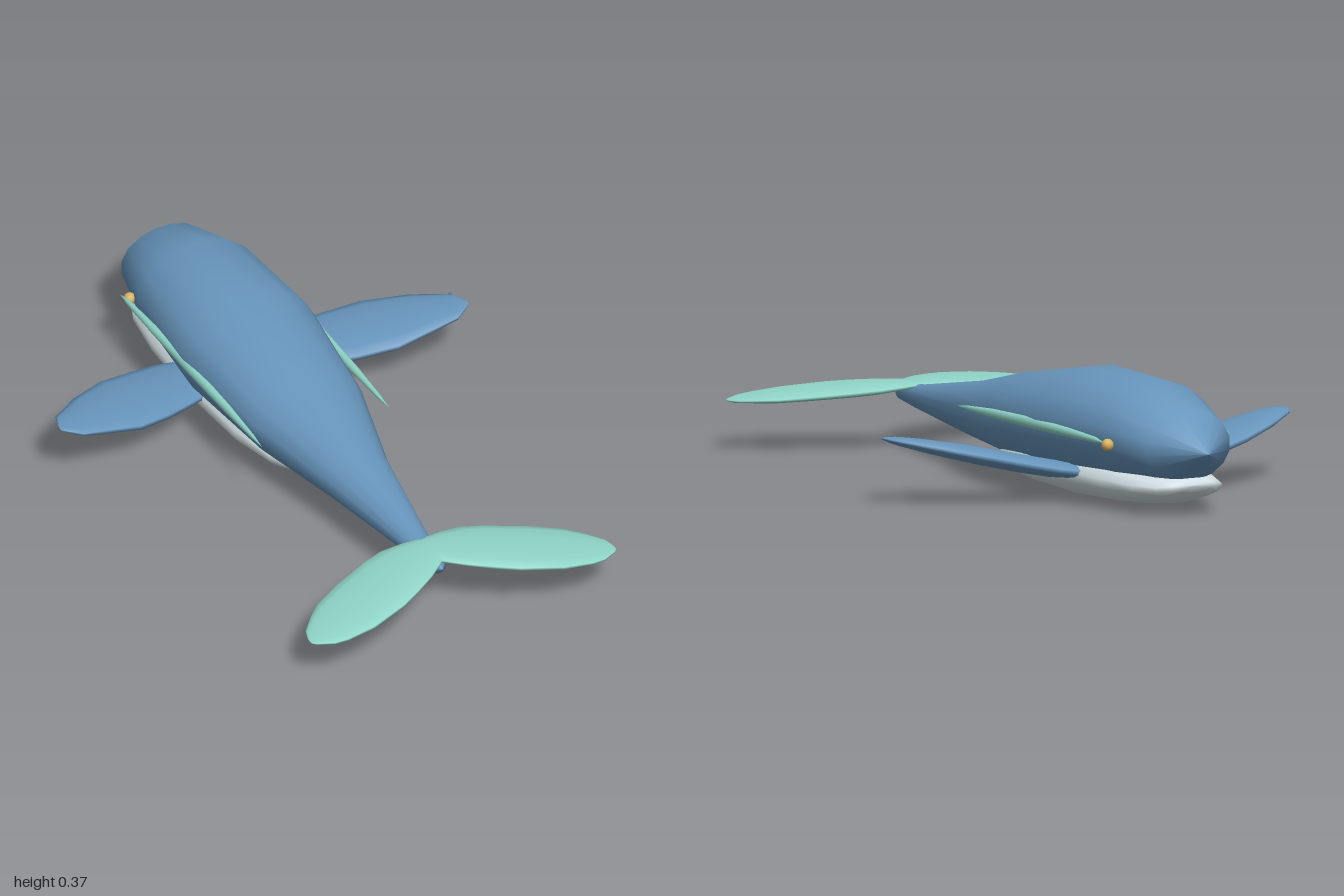
import * as THREE from 'three';

// Skin of elliptical rings along z; each section is [z, x, y, radiusX, radiusY]
function loft(sections, sides) {
  const pos = [], index = [];
  sections.forEach(([z, x, y, rx, ry]) => {
    for (let j = 0; j < sides; j++) {
      const a = ((j + 0.5) / sides) * Math.PI * 2;
      pos.push(x + Math.cos(a) * rx, y + Math.sin(a) * ry, z);
    }
  });
  for (let i = 0; i < sections.length - 1; i++) {
    for (let j = 0; j < sides; j++) {
      const k = (j + 1) % sides;
      const a = i * sides + j, b = i * sides + k;
      const c = b + sides, d = a + sides;
      index.push(a, b, c, a, c, d);
    }
  }
  const geo = new THREE.BufferGeometry();
  geo.setAttribute('position', new THREE.Float32BufferAttribute(pos, 3));
  geo.setIndex(index);
  geo.computeVertexNormals();
  return geo;
}

// Flat fin reaching along +x; each rib is [x, leadingZ, trailingZ, y, halfThickness]
function finGeometry(ribs) {
  const sections = ribs.map(([x, z0, z1, y, t]) => [x, -(z0 + z1) / 2, y, (z1 - z0) / 2, t]);
  return loft(sections, 12).rotateY(Math.PI / 2);
}

export function createModel() {
  const material = (name, color) => {
    const m = new THREE.MeshStandardMaterial({ color });
    m.name = name;
    return m;
  };
  const blue = material('ocean blue', 0x6896bd);
  const teal = material('pale teal', 0x90d5c8);
  const white = material('belly white', 0xd3e0e4);
  const gold = material('eye gold', 0xd9b25f);

  const whale = new THREE.Group();
  whale.name = 'whale';
  const add = (name, geo, mat, parent = whale) => {
    const mesh = new THREE.Mesh(geo, mat);
    mesh.name = name;
    parent.add(mesh);
    return mesh;
  };

  // Body from pointed snout to narrow tail
  add('body', loft([
    [-1, 0, 0.195, 0, 0],
    [-0.88, 0, 0.205, 0.138, 0.102],
    [-0.68, 0, 0.222, 0.192, 0.15],
    [-0.36, 0, 0.215, 0.219, 0.163],
    [0, 0, 0.19, 0.18, 0.128],
    [0.3, 0, 0.166, 0.102, 0.086],
    [0.68, 0, 0.155, 0.038, 0.037],
    [0.8, 0, 0.158, 0.022, 0.024],
    [0.82, 0, 0.158, 0, 0],
  ], 16), blue);

  // Pale throat and belly
  add('belly', loft([
    [-0.915, 0, 0.095, 0, 0],
    [-0.91, 0, 0.092, 0.07, 0.018],
    [-0.88, 0, 0.085, 0.11, 0.033],
    [-0.8, 0, 0.08, 0.142, 0.05],
    [-0.65, 0, 0.079, 0.163, 0.065],
    [-0.4, 0, 0.079, 0.173, 0.075],
    [-0.15, 0, 0.079, 0.16, 0.069],
    [0, 0, 0.08, 0.128, 0.054],
    [0.1, 0, 0.08, 0.075, 0.026],
    [0.14, 0, 0.078, 0, 0],
  ], 16), white);

  const flipper = finGeometry([
    [0.1, -0.53, -0.36, 0.085, 0.02],
    [0.22, -0.53, -0.305, 0.103, 0.026],
    [0.31, -0.51, -0.262, 0.121, 0.027],
    [0.42, -0.48, -0.222, 0.145, 0.026],
    [0.545, -0.41, -0.22, 0.172, 0.02],
    [0.61, -0.358, -0.22, 0.186, 0.014],
    [0.645, -0.33, -0.243, 0.193, 0.009],
    [0.664, -0.28, -0.258, 0.197, 0.003],
    [0.665, -0.269, -0.269, 0.197, 0],
  ]);
  const fluke = finGeometry([
    [0, 0.69, 0.82, 0.186, 0.01],
    [0.06, 0.682, 0.87, 0.183, 0.014],
    [0.13, 0.682, 0.915, 0.178, 0.017],
    [0.19, 0.7, 0.948, 0.173, 0.018],
    [0.31, 0.75, 0.99, 0.163, 0.016],
    [0.4, 0.8, 0.998, 0.155, 0.013],
    [0.44, 0.838, 0.992, 0.152, 0.01],
    [0.485, 0.89, 0.965, 0.148, 0.006],
    [0.496, 0.925, 0.952, 0.147, 0.002],
    [0.497, 0.938, 0.938, 0.147, 0],
  ]);
  // Slim spindle running back from the eye
  const stripe = loft([
    [-0.755, 0.207, 0.213, 0, 0],
    [-0.7, 0.207, 0.216, 0.007, 0.009],
    [-0.55, 0.207, 0.218, 0.012, 0.014],
    [-0.33, 0.207, 0.219, 0.015, 0.017],
    [-0.1, 0.207, 0.218, 0.012, 0.014],
    [0.05, 0.207, 0.216, 0.006, 0.007],
    [0.11, 0.207, 0.215, 0, 0],
  ], 10);
  const eye = new THREE.SphereGeometry(0.018, 12, 8);

  // Mirrored side parts
  for (const side of [1, -1]) {
    const half = new THREE.Group();
    half.name = side > 0 ? 'positiveSide' : 'negativeSide';
    half.scale.x = side;
    add('flipper', flipper, blue, half);
    add('tailFluke', fluke, teal, half);
    add('sideStripe', stripe, teal, half);
    add('eye', eye, gold, half).position.set(0.186, 0.204, -0.735);
    whale.add(half);
  }
  return whale;
}
